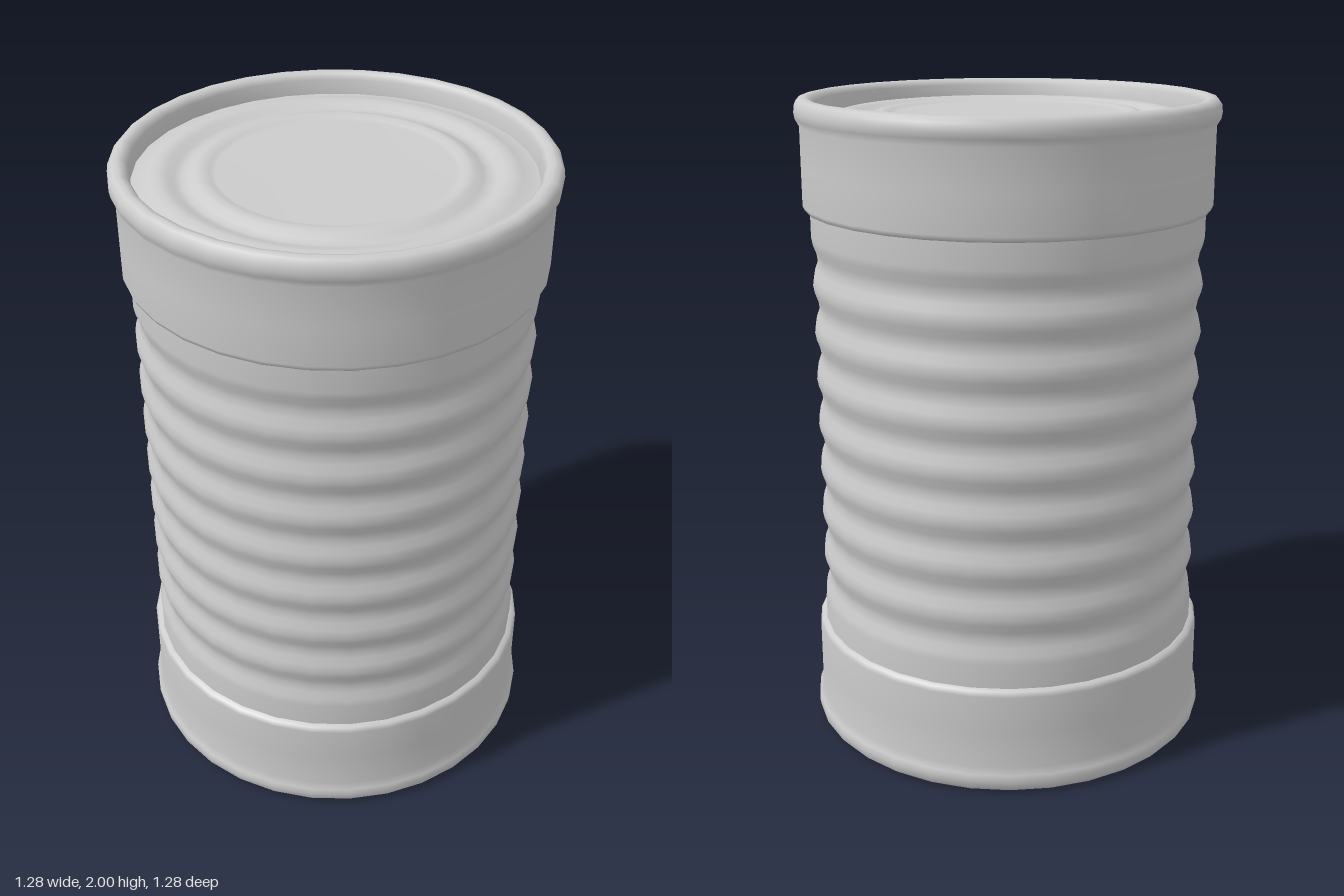
import * as THREE from 'three';

const SIDES = 32;
const HEIGHT = 2;

export function createModel() {
  const can = new THREE.Group();
  can.name = 'tinCan';
  const metal = new THREE.MeshStandardMaterial({ color: 0xcccccc });

  // Profiles run upwards on the outside, then inwards over the top
  const addLathe = (name, profile) => {
    const points = profile.map(([r, y]) => new THREE.Vector2(r, y));
    const mesh = new THREE.Mesh(new THREE.LatheGeometry(points, SIDES), metal);
    mesh.name = name;
    can.add(mesh);
  };
  const flip = (profile) => profile.map(([r, y]) => [r, HEIGHT - y]).reverse();

  // Plain collar with a rolled rim at its end
  const collar = [
    [0.6, 1.665], [0.618, 1.67], [0.625, 1.685], [0.625, 1.8], [0.625, 1.92],
    [0.637, 1.94], [0.64, 1.96], [0.637, 1.982], [0.625, 1.996], [0.608, 2],
    [0.592, 1.995], [0.581, 1.98], [0.577, 1.935],
  ];
  addLathe('topCollar', collar);
  addLathe('bottomCollar', flip(collar));

  // Recessed lid with two pressed rings around a shallow centre dish
  const lid = [
    [0.577, 1.935], [0.55, 1.937], [0.525, 1.947], [0.5, 1.953], [0.475, 1.949],
    [0.455, 1.938], [0.435, 1.935], [0.415, 1.942], [0.395, 1.953],
    [0.375, 1.956], [0.355, 1.95], [0.34, 1.945], [0, 1.943],
  ];
  addLathe('topLid', lid);
  addLathe('bottomLid', flip(lid));

  // Corrugated wall: nine crests with grooves between them
  const wall = [[0.604, 0.33]];
  const ribs = 8, steps = 6, low = 0.41, high = 1.59;
  for (let i = 0; i <= ribs * steps; i++) {
    const t = i / (ribs * steps);
    const r = 0.595 + 0.009 * Math.cos(t * ribs * Math.PI * 2);
    wall.push([r, low + (high - low) * t]);
  }
  wall.push([0.604, 1.67]);
  addLathe('ribbedWall', wall);

  return can;
}
